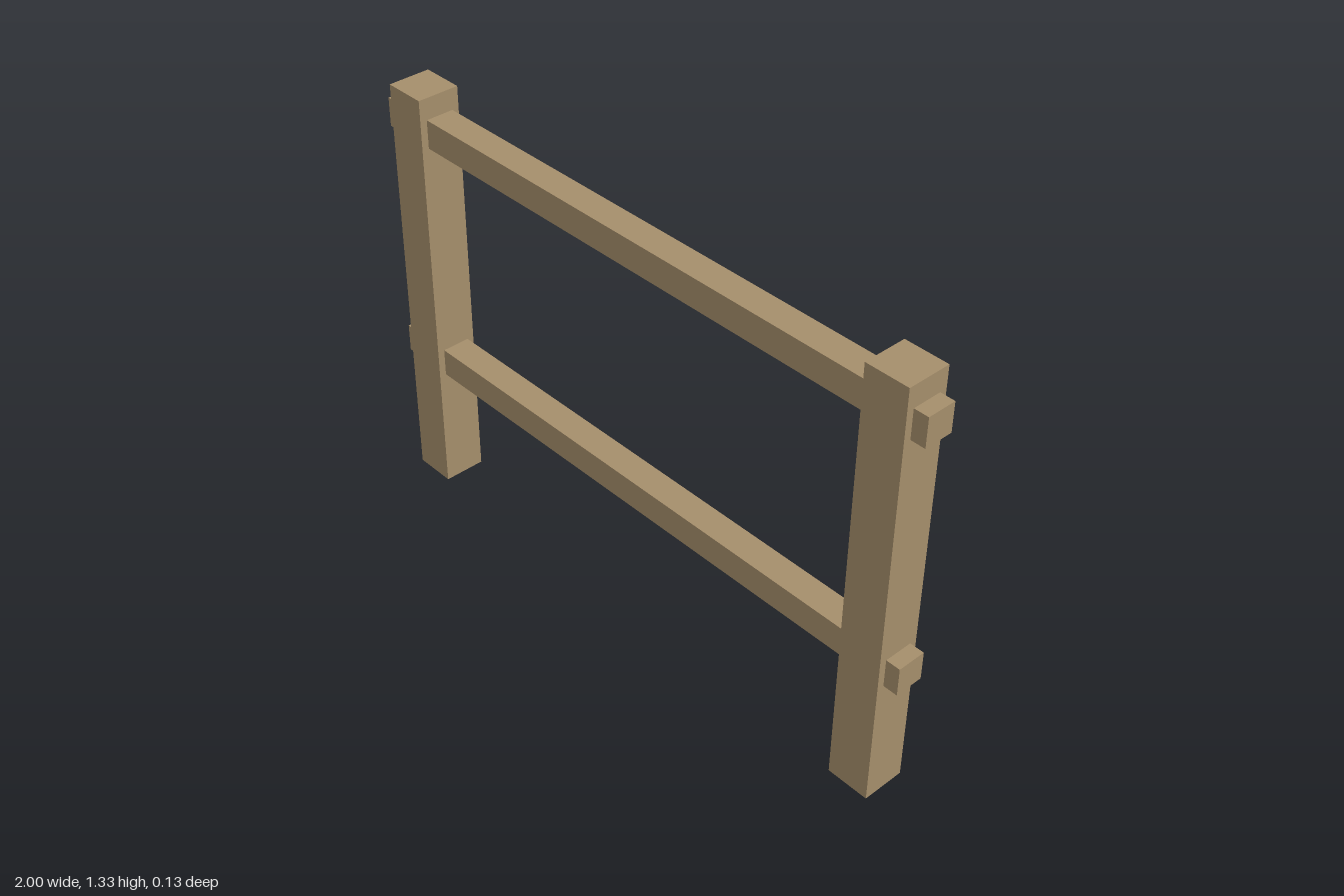
import * as THREE from 'three';

export function createModel() {
  const group = new THREE.Group();
  const wood = new THREE.MeshStandardMaterial({ color: 0xa58e6b, flatShading: true });

  const addBeam = (name, w, h, d, x, y) => {
    const beam = new THREE.Mesh(new THREE.BoxGeometry(w, h, d), wood);
    beam.name = name;
    beam.position.set(x, y, 0);
    group.add(beam);
  };

  // Upright square posts
  const postHeight = 1.333;
  for (const [name, side] of [['leftPost', 1], ['rightPost', -1]]) {
    addBeam(name, 0.133, postHeight, 0.133, side * 0.889, postHeight / 2);
  }

  // Horizontal rails passing through both posts
  for (const [name, y] of [['lowerRail', 0.444], ['upperRail', 1.222]]) {
    addBeam(name, 2, 0.089, 0.089, 0, y);
  }

  return group;
}
